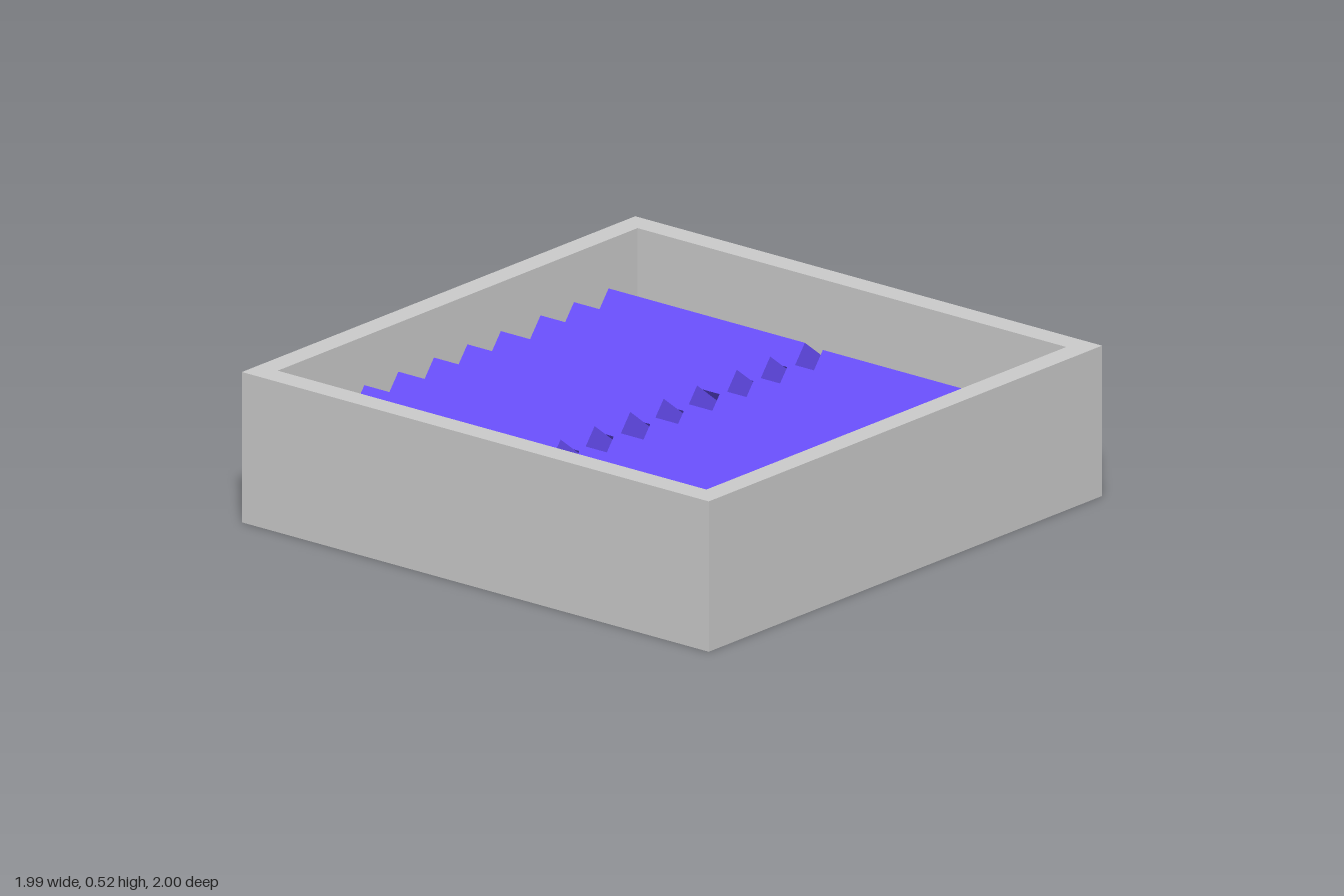
import * as THREE from 'three';

const HALF_X = 0.993, HALF_Z = 1, HEIGHT = 0.52;
const INNER_X = 0.912, INNER_Z = 0.915, FLOOR = 0.085;
const TILT = THREE.MathUtils.degToRad(38);
const RIDGE_Y = 0.363;          // height of every slat's upper edge
const SLAT_WIDTH = 0.835;
const SLAT_DEPTH = 0.18 / Math.cos(TILT);
const SLAT_THICKNESS = 0.058 / Math.sin(TILT);

function rectangle(target, hx, hz) {
  target.moveTo(-hx, -hz);
  target.lineTo(hx, -hz);
  target.lineTo(hx, hz);
  target.lineTo(-hx, hz);
  target.closePath();
  return target;
}

export function createModel() {
  const model = new THREE.Group();
  const grey = new THREE.MeshStandardMaterial({ color: 0xcccccc });
  const purple = new THREE.MeshStandardMaterial({ color: 0x694ffc });

  // Open tray: a square wall ring and a floor panel inside it
  const ring = rectangle(new THREE.Shape(), HALF_X, HALF_Z);
  ring.holes.push(rectangle(new THREE.Path(), INNER_X, INNER_Z));
  const wallGeometry = new THREE.ExtrudeGeometry(ring, { depth: HEIGHT, bevelEnabled: false });
  wallGeometry.rotateX(-Math.PI / 2);
  const walls = new THREE.Mesh(wallGeometry, grey);
  walls.name = 'trayWalls';
  model.add(walls);

  const floor = new THREE.Mesh(new THREE.BoxGeometry(INNER_X * 2, FLOOR, INNER_Z * 2), grey);
  floor.name = 'trayFloor';
  floor.position.y = FLOOR / 2;
  model.add(floor);

  // Two columns of tilted, overlapping slats; each number is the z of an upper edge
  const slatGeometry = new THREE.BoxGeometry(SLAT_WIDTH, SLAT_THICKNESS, SLAT_DEPTH);
  const columns = [
    { name: 'rightSlats', x: -0.473, ridges: [-0.742, -0.566, -0.396, -0.194, -0.024, 0.146, 0.327, 0.5, 0.673, 0.843] },
    { name: 'leftSlats', x: 0.452, ridges: [-0.726, -0.553, -0.383, -0.21, -0.035, 0.136, 0.327, 0.5, 0.673, 0.843] },
  ];
  for (const { name, x, ridges } of columns) {
    const column = new THREE.Group();
    column.name = name;
    for (const ridgeZ of ridges) {
      const slat = new THREE.Mesh(slatGeometry, purple);
      slat.name = 'slat';
      slat.rotation.x = -TILT;
      // Place the slat so its upper front edge lies on the ridge
      const edge = new THREE.Vector3(0, SLAT_THICKNESS / 2, SLAT_DEPTH / 2).applyEuler(slat.rotation);
      slat.position.set(x, RIDGE_Y, ridgeZ).sub(edge);
      column.add(slat);
    }
    model.add(column);
  }
  return model;
}
